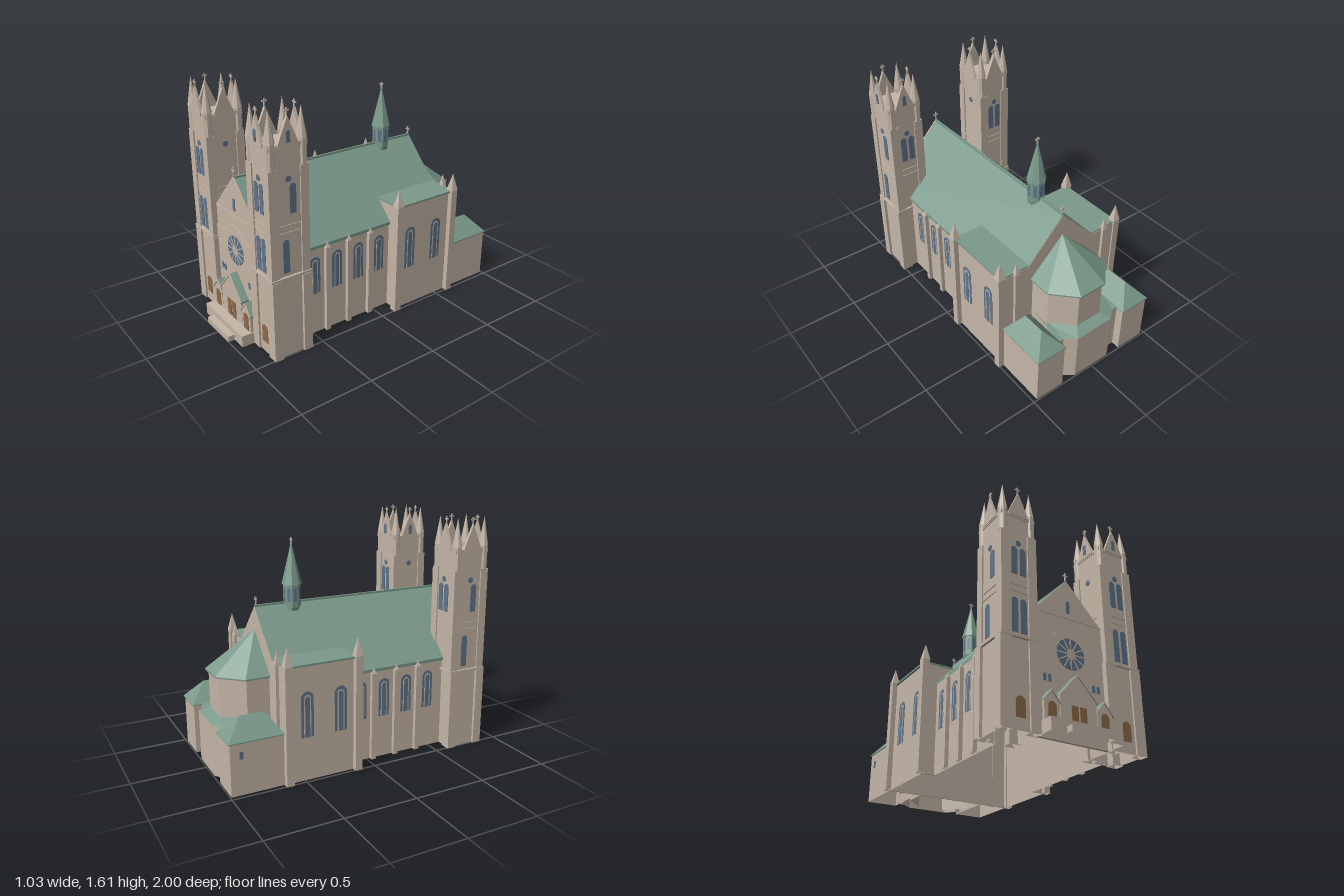
import * as THREE from 'three';
import { ConvexGeometry } from 'three/addons/geometries/ConvexGeometry.js';

const mat = (name, color, side = THREE.FrontSide) => new THREE.MeshStandardMaterial({ name, color, side, flatShading: true });

export function createModel() {
  const stone = mat('stone', 0xc5b6a7, THREE.DoubleSide), copper = mat('copperRoof', 0x7b9a8b, THREE.DoubleSide);
  const glass = mat('glass', 0x60758c), wood = mat('wood', 0x8c6a4a);
  const root = new THREE.Group();
  root.name = 'cathedral';

  // ---- helpers ----
  const add = (parent, name, geo, m, x = 0, y = 0, z = 0) => {
    const mesh = new THREE.Mesh(geo, m);
    mesh.name = name;
    mesh.position.set(x, y, z);
    parent.add(mesh);
    return mesh;
  };
  const group = (parent, name, x = 0, y = 0, z = 0, ry = 0) => {
    const g = new THREE.Group();
    g.name = name;
    g.position.set(x, y, z);
    g.rotation.y = ry;
    parent.add(g);
    return g;
  };
  // box given by its extents; boxes on the ground are shells without a floor
  const box = (p, name, m, x0, x1, y0, y1, z0, z1) => {
    const geo = new THREE.BoxGeometry(Math.abs(x1 - x0), y1 - y0, Math.abs(z1 - z0));
    if (y0 === 0) {
      const idx = Array.from(geo.index.array);
      idx.splice(18, 6);
      geo.setIndex(idx);
    }
    return add(p, name, geo, m, (x0 + x1) / 2, (y0 + y1) / 2, (z0 + z1) / 2);
  };
  // outline in x,y pushed from z0 to z1
  const slab = (p, name, m, pts, z0, z1) => add(p, name, new THREE.ExtrudeGeometry(
    new THREE.Shape(pts.map(q => new THREE.Vector2(...q))), { depth: z1 - z0, bevelEnabled: false }), m, 0, 0, z0);
  const hull = (p, name, m, pts) => add(p, name, new ConvexGeometry(pts.map(q => new THREE.Vector3(...q))), m);
  // strip of faces between two plan paths at two heights
  const loft = (p, name, m, a, ya, b, yb) => {
    const pos = [], idx = [];
    a.forEach(([x, z], i) => {
      pos.push(x, ya, z, b[i][0], yb, b[i][1]);
      if (i) idx.push(2 * i - 2, 2 * i, 2 * i - 1, 2 * i, 2 * i + 1, 2 * i - 1);
    });
    const geo = new THREE.BufferGeometry();
    geo.setAttribute('position', new THREE.Float32BufferAttribute(pos, 3));
    geo.setIndex(idx);
    const flat = geo.toNonIndexed();
    flat.computeVertexNormals();
    return add(p, name, flat, m);
  };
  const gablePts = (w, base, eave, top) => [[-w, base], [w, base], [w, eave], [0, top], [-w, eave]];
  const chevron = (w, eave, top, t) => [[0, top], [-w, eave], [-w, eave - t], [0, top - t], [w, eave - t], [w, eave]];
  // thin round-headed plate standing on a face that looks along +z
  const arch = (p, name, m, x, y, z, w, h, d = 0.004) => {
    const r = w / 2, s = new THREE.Shape();
    s.moveTo(-r, 0);
    s.lineTo(r, 0);
    s.lineTo(r, h - r);
    s.absarc(0, h - r, r, 0, Math.PI, false);
    s.closePath();
    return add(p, name, new THREE.ExtrudeGeometry(s, { depth: d, bevelEnabled: false, curveSegments: 10 }), m, x, y, z);
  };
  const disc = (p, name, m, x, y, z, r, d = 0.004) => {
    add(p, name, new THREE.CylinderGeometry(r, r, d, 32), m, x, y, z + d / 2).rotation.x = Math.PI / 2;
  };
  const cross = (p, x, y, z, h = 0.055) => {
    const g = group(p, 'cross', x, y, z);
    box(g, 'crossPost', stone, -0.004, 0.004, -0.01, h, -0.004, 0.004);
    box(g, 'crossArm', stone, -0.017, 0.017, h * 0.58, h * 0.58 + 0.009, -0.004, 0.004);
  };
  // shaft with a pointed cap
  const pinnacle = (p, name, x, z, y0, y1, top, r, sides) => {
    const g = group(p, name, x, 0, z, Math.PI / sides);
    add(g, name + 'Shaft', new THREE.CylinderGeometry(r * 0.93, r * 0.93, y1 - y0, sides, 1, y0 === 0), stone, 0, (y0 + y1) / 2);
    add(g, name + 'Cap', new THREE.ConeGeometry(r, top - y1, sides), stone, 0, (top + y1) / 2);
  };

  // ---- main roof and rear wall ----
  slab(root, 'mainRoof', copper, chevron(0.397, 0.64, 1.06, 0.02), -0.627, 0.815);
  box(root, 'ridge', copper, -0.007, 0.007, 1.045, 1.066, -0.627, 0.815);
  slab(root, 'rearWall', stone, [[-0.475, 0], [0.475, 0], [0.475, 0.768], [0.272, 0.77], [0, 1.055], [-0.272, 0.77], [-0.475, 0.768]], -0.63, -0.62);
  cross(root, 0, 1.065, -0.617);

  // ---- front wall ----
  slab(root, 'frontWall', stone, gablePts(0.25, 0, 0.8, 1.066), 0.813, 0.825);
  box(root, 'gableCourse', stone, -0.25, 0.25, 0.795, 0.802, 0.82, 0.83);
  const lower = new THREE.Shape();
  lower.moveTo(-0.25, 0);
  lower.lineTo(0.25, 0);
  lower.lineTo(0.25, 0.655);
  lower.lineTo(0.125, 0.655);
  lower.quadraticCurveTo(0.075, 0.72, 0, 0.72);
  lower.quadraticCurveTo(-0.075, 0.72, -0.125, 0.655);
  lower.lineTo(-0.25, 0.655);
  add(root, 'lowerFrontWall', new THREE.ExtrudeGeometry(lower, { depth: 0.009, bevelEnabled: false }), stone, 0, 0, 0.823);
  cross(root, 0, 1.065, 0.817, 0.065);
  arch(root, 'gableWindow', glass, 0, 0.835, 0.825, 0.026, 0.085);
  for (const x of [-0.195, -0.16, 0.16, 0.195]) arch(root, 'smallWindow', glass, x, 0.345, 0.832, 0.022, 0.046);

  // rose window
  const rose = group(root, 'roseWindow', 0, 0.555, 0.832);
  disc(rose, 'roseGlass', glass, 0, 0, 0, 0.102);
  for (let i = 0; i < 6; i++) {
    const s = add(rose, 'roseSpoke', new THREE.BoxGeometry(0.204, 0.008, 0.003), stone, 0, 0, 0.0045);
    s.rotation.z = (i * Math.PI) / 6;
  }
  add(rose, 'roseRing', new THREE.RingGeometry(0.022, 0.032, 24), stone, 0, 0, 0.0065);

  // ---- portal and steps ----
  box(root, 'platform', stone, -0.25, 0.25, 0, 0.08, 0.825, 0.955);
  box(root, 'lowerStep', stone, -0.145, 0.145, 0, 0.04, 0.955, 1);
  const portal = (x, w, eave, top) => {
    const g = group(root, 'portal', x);
    slab(g, 'portalWall', stone, gablePts(w, 0.079, eave, top - 0.008), 0.828, 0.885);
    const e = w + 0.008, rim = chevron(e, top - ((top - eave) / w) * e, top, 0.011);
    slab(g, 'portalRoof', copper, rim, 0.828, 0.887);
    slab(g, 'portalCoping', stone, rim, 0.887, 0.893);
    return g;
  };
  const mid = portal(0, 0.13, 0.262, 0.402);
  for (const s of [-1, 1]) {
    box(mid, 'mainDoor', wood, s * 0.006, s * 0.054, 0.08, 0.203, 0.884, 0.889);
    arch(portal(s * 0.188, 0.054, 0.21, 0.275), 'sideDoor', wood, 0, 0.08, 0.885, 0.057, 0.12);
  }

  // ---- towers ----
  for (const s of [-1, 1]) {
    const t = group(root, s > 0 ? 'leftTower' : 'rightTower', s * 0.377, 0, 0.727);
    box(t, 'towerCore', stone, -0.117, 0.117, 0, 1.385, -0.128, 0.128);
    box(t, 'towerCourse', stone, -0.133, 0.133, 0.55, 0.566, -0.143, 0.143);
    for (const y of [0.85, 0.897]) box(t, 'towerBand', stone, -0.122, 0.122, y, y + 0.006, -0.133, 0.133);
    for (const a of [-1, 1]) {
      box(t, 'towerParapet', stone, -0.122, 0.122, 1.375, 1.4, a * 0.118, a * 0.133);
      box(t, 'towerParapet', stone, a * 0.107, a * 0.122, 1.375, 1.4, -0.118, 0.118);
      for (const b of [-1, 1]) {
        box(t, 'lowerButtress', stone, a * 0.06, a * 0.136, 0, 0.55, b * 0.078, b * 0.14);
        box(t, 'upperButtress', stone, a * 0.063, a * 0.126, 0.55, 1.26, b * 0.08, b * 0.137);
        pinnacle(t, 'towerPinnacle', a * 0.098, b * 0.108, 1.255, 1.415, 1.61, 0.034, 8);
      }
    }
    for (let k = 0; k < 4; k++) {
      const side = k % 2, d = side ? 0.117 : 0.128;
      const f = group(t, 'towerFace', 0, 0, 0, (k * Math.PI) / 2);
      slab(f, 'towerGable', stone, [[-0.068, 1.385], [0.068, 1.385], [0.068, 1.405], [0, 1.565], [-0.068, 1.405]], d - 0.008, d + 0.01);
      cross(f, 0, 1.56, d, 0.05);
      disc(f, 'towerRoundel', glass, 0, 1.19, d, 0.019);
      if (s > 0) arch(f, 'towerGableWindow', glass, 0, 1.41, d + 0.01, 0.026, 0.073);
      if (k === 2 - s) {
        // single staggered lights on the outer side
        arch(f, 'towerWindow', glass, -0.028, 0.59, d, 0.044, 0.22);
        arch(f, 'towerWindow', glass, 0.028, 0.97, d, 0.044, 0.19);
      }
      if (!side) for (const x of [-0.03, 0.03]) {
        arch(f, 'towerWindow', glass, x, 0.97, d, 0.043, 0.19);
        if (k === 0) arch(f, 'towerWindow', glass, x, 0.585, d, 0.043, 0.225);
      }
      if (k === 0) arch(f, 'towerDoor', wood, 0, 0.075, d, 0.064, 0.125);
    }
  }

  // ---- long sides, transepts and chapels ----
  const tracery = (p, x, z, w, h) => {
    arch(p, 'windowOuter', glass, x, 0.295, z, w, h, 0.003);
    arch(p, 'windowMullion', stone, x, 0.295, z, w * 0.58, h - w * 0.25, 0.004);
    arch(p, 'windowInner', glass, x, 0.295, z, w * 0.38, h - w * 0.38, 0.005);
  };
  for (const s of [-1, 1]) {
    const wall = group(root, 'sideWindows', 0, 0, 0, (s * Math.PI) / 2);
    for (const z of [0.48, 0.305, 0.13, -0.045]) tracery(wall, -s * z, 0.385, 0.08, 0.265);
    for (const z of [-0.245, -0.48]) tracery(wall, -s * z, 0.475, 0.086, 0.305);
    box(root, 'naveWall', stone, s * 0.377, s * 0.385, 0, 0.645, -0.13, 0.6);
    for (const z of [0.39, 0.218, 0.042]) {
      box(root, 'naveButtress', stone, s * 0.38, s * 0.412, 0, 0.61, z - 0.017, z + 0.017);
      pinnacle(root, 'buttressCap', s * 0.394, z, 0.6, 0.612, 0.65, 0.024, 4);
    }
    box(root, 'transeptSide', stone, s * 0.467, s * 0.475, 0, 0.768, -0.625, -0.13);
    slab(root, 'transeptFront', stone, [[s * 0.377, 0], [s * 0.475, 0], [s * 0.475, 0.768], [s * 0.275, 0.768], [s * 0.377, 0.65]], -0.138, -0.13);
    box(root, 'transeptRoof', copper, s * 0.262, s * 0.49, 0.768, 0.78, -0.627, -0.125);
    for (const z of [-0.127, -0.615]) pinnacle(root, 'transeptTurret', s * 0.485, z, 0, 0.785, 0.905, 0.038, 4);
    pinnacle(root, 'rearPinnacle', s * 0.37, -0.633, 0, 0.77, 0.86, 0.026, 4);

    box(root, 'chapel', stone, s * 0.255, s * 0.47, 0, 0.345, -0.992, -0.63);
    const eaves = [];
    for (const x of [0.25, 0.477]) for (const z of [-1, -0.635]) eaves.push([s * x, 0.343, z], [s * x, 0.35, z]);
    hull(root, 'chapelRoof', copper, [...eaves, [s * 0.363, 0.477, -0.725], [s * 0.363, 0.477, -0.885]]);
  }
  const chapelWindow = group(root, 'chapelWindow', -0.47, 0.24, -0.92, -Math.PI / 2);
  arch(chapelWindow, 'chapelPane', glass, 0, 0, 0, 0.026, 0.05);

  // ---- apse and ambulatory ----
  const both = half => [...half, ...half.map(([x, z]) => [-x, z]).reverse()];
  const ring = (pts, y) => pts.map(([x, z]) => [x, y, z]);
  const outer = both([[0.257, -0.935], [0.217, -0.935], [0.145, -0.992]]);
  const inner = both([[0.232, -0.63], [0.232, -0.785], [0.096, -0.925]]);
  const eave = both([[0.247, -0.63], [0.247, -0.795], [0.102, -0.945]]);
  loft(root, 'ambulatoryWall', stone, outer, 0, outer, 0.35);
  loft(root, 'ambulatoryRoof', copper, outer, 0.35, inner, 0.385);
  loft(root, 'apseWall', stone, inner, 0, inner, 0.65);
  hull(root, 'apseRoof', copper, [...ring(eave, 0.645), ...ring(eave, 0.655), [0, 0.905, -0.632]]);

  // ---- roof spire ----
  const spire = group(root, 'roofSpire', 0, 0, -0.36);
  const oct = (name, r0, r1, y0, y1) => {
    add(spire, name, new THREE.CylinderGeometry(r1, r0, y1 - y0, 8), copper, 0, (y0 + y1) / 2).rotation.y = Math.PI / 8;
  };
  oct('spireBase', 0.05, 0.058, 0.99, 1.03);
  oct('spireDrum', 0.058, 0.058, 1.03, 1.18);
  oct('spireRoof', 0.067, 0.001, 1.18, 1.455);
  for (let i = 0; i < 8; i++) {
    const f = group(spire, 'drumFace', 0, 0, 0, (i * Math.PI) / 4);
    arch(f, 'drumWindow', glass, 0, 1.07, 0.0535, 0.022, 0.09, 0.002);
  }
  cross(spire, 0, 1.445, 0, 0.042);

  return root;
}
